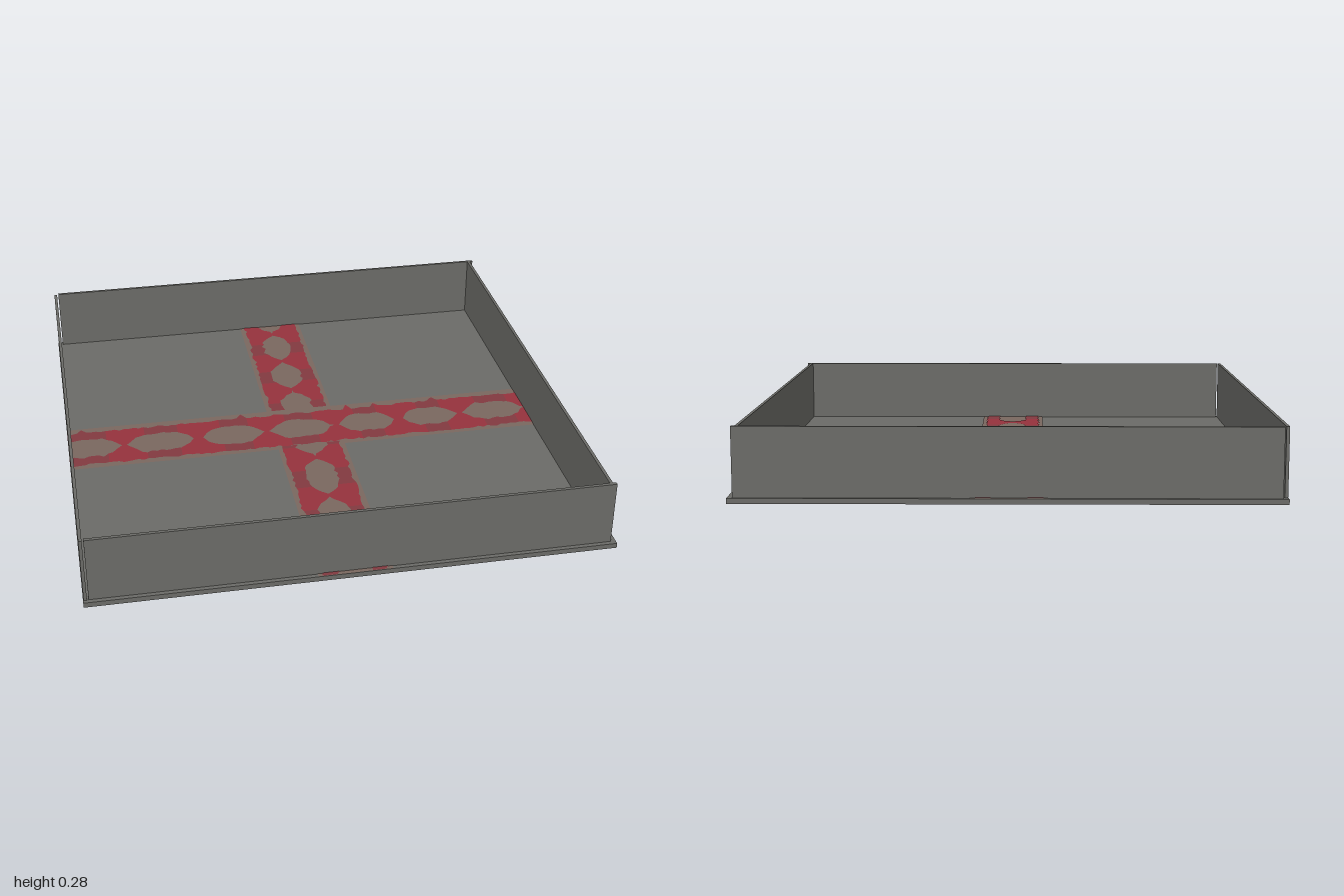
import * as THREE from 'three';

const material = (name, color) => {
  const m = new THREE.MeshStandardMaterial({ color });
  m.name = name;
  return m;
};

const FLOOR_TOP = 0.02;
const STEP = 0.02;

export function createModel() {
  const model = new THREE.Group();
  model.name = 'walledTile';

  const stone = material('stoneGrey', 0x6b6b67);
  const dust = material('dustyBrown', 0x7a675f);
  const red = material('brickRed', 0x96323d);
  const darkRed = material('darkRed', 0x823a40);

  let seed = 7;
  const jitter = (amount) => {
    seed = (seed * 16807) % 2147483647;
    return (seed / 2147483647 - 0.5) * 2 * amount;
  };

  // Box given by its minimum and maximum corners
  function box(name, x0, x1, y0, y1, z0, z1) {
    const mesh = new THREE.Mesh(new THREE.BoxGeometry(x1 - x0, y1 - y0, z1 - z0), stone);
    mesh.name = name;
    mesh.position.set((x0 + x1) / 2, (y0 + y1) / 2, (z0 + z1) / 2);
    model.add(mesh);
  }

  // Flat floor paint from [x, z] points
  function paint(name, points, mat, lift) {
    const shape = new THREE.Shape(points.map(([x, z]) => new THREE.Vector2(x, -z)));
    const mesh = new THREE.Mesh(new THREE.ShapeGeometry(shape), mat);
    mesh.name = name;
    mesh.rotation.x = -Math.PI / 2;
    mesh.position.y = FLOOR_TOP + lift;
    model.add(mesh);
  }

  // Ragged ladder of two rails joined by bars; u runs along it, v across it
  function ladder(name, { start, end, low, high, opening, bars, spurs = [], along }) {
    const mid = (low + high) / 2;
    const count = Math.round((end - start) / STEP);
    const place = ([u, v]) => (along === 'x' ? [u, v] : [v, u]);
    const barDistance = (u) => Math.min(...bars.map((b) => Math.abs(u - b)));

    for (const side of [-1, 1]) {
      const edge = side < 0 ? low : high;
      const samples = [];
      for (let i = 0; i <= count; i++) {
        const u = start + ((end - start) * i) / count;
        const d = barDistance(u);
        const gap = Math.sqrt(THREE.MathUtils.clamp((d - 0.024) / 0.06, 0, 1));
        const spur = side < 0 && spurs.some((s) => Math.abs(u - s) < STEP / 2) ? 0.03 : 0;
        samples.push({
          u,
          near: d < 0.085,
          outer: edge + side * (spur + jitter(0.007)),
          inner: mid + side * gap * (opening + jitter(0.008)),
        });
      }
      // Split the rail into runs, bright near the bars and dark between them
      let from = 0;
      for (let i = 1; i <= count; i++) {
        if (i < count && samples[i].near === samples[from].near) continue;
        const run = samples.slice(from, i + 1);
        const outline = [
          ...run.map((s) => [s.u, s.outer]),
          ...run.reverse().map((s) => [s.u, s.inner]),
        ];
        paint(name, outline.map(place), samples[from].near ? red : darkRed, 0.003);
        from = i;
      }
    }
  }

  const rect = (x0, x1, z0, z1) => [[x0, z0], [x1, z0], [x1, z1], [x0, z1]];

  // Floor slab and four thin walls
  box('floor', -1, 1, 0, FLOOR_TOP, -1, 1);
  const top = 0.278;
  box('frontWall', -0.98, 0.98, FLOOR_TOP, top, 0.97, 0.983);
  box('backWall', -0.98, 0.98, FLOOR_TOP, top, -0.99, -0.978);
  box('rightWall', -0.998, -0.986, FLOOR_TOP, top, -0.978, 0.985);
  box('leftWall', 0.955, 0.967, FLOOR_TOP, top, -0.978, 0.97);

  // Dusty ground beneath the paths
  paint('crossPathDust', rect(-1, 1, -0.195, 0.115), dust, 0.0015);
  paint('backPathDust', rect(-0.145, 0.135, -1, -0.195), dust, 0.0015);
  paint('frontPathDust', rect(-0.145, 0.135, 0.115, 1), dust, 0.0015);

  // Red ladder-like paths
  ladder('crossPath', {
    start: -1, end: 1, low: -0.158, high: 0.09, opening: 0.068, along: 'x',
    bars: [-0.77, -0.46, -0.17, 0.125, 0.4, 0.67, 0.965],
    spurs: [-0.94, -0.26, 0.2, 0.32, 0.58],
  });
  ladder('backPath', {
    start: -1, end: -0.195, low: -0.125, high: 0.115, opening: 0.062, along: 'z',
    bars: [-0.895, -0.625, -0.36],
  });
  ladder('frontPath', {
    start: 0.095, end: 1, low: -0.125, high: 0.115, opening: 0.062, along: 'z',
    bars: [0.2, 0.49, 0.775],
  });

  return model;
}
